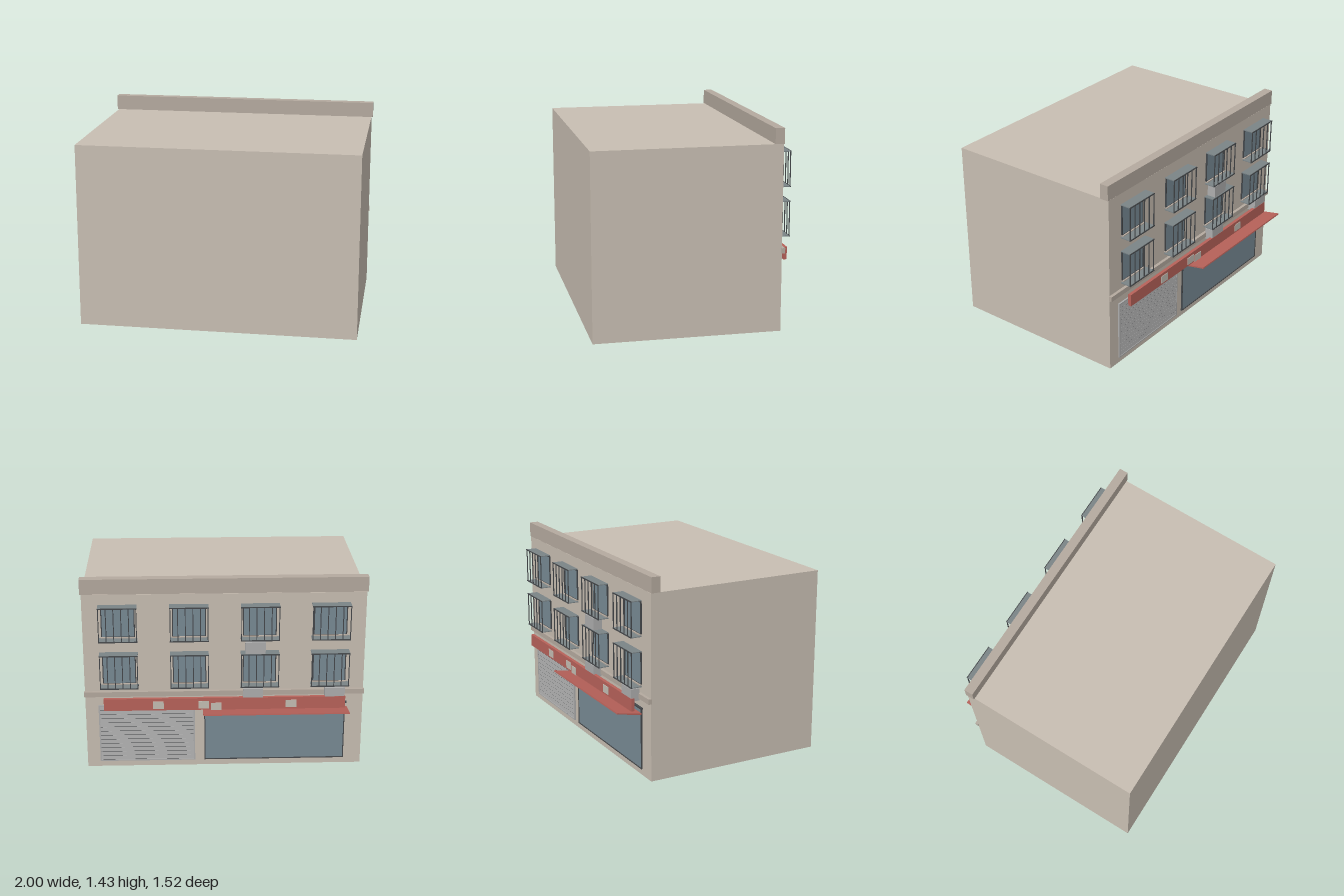
import * as THREE from 'three';

const mat = (color) => new THREE.MeshStandardMaterial({ color, flatShading: true });

export function createModel() {
  const model = new THREE.Group();
  model.name = 'building';
  const wall = mat(0xc8beb2), trim = mat(0xb5aa9f), glass = mat(0x788a94), iron = mat(0x45484b);
  const slab = mat(0x7b8487), red = mat(0xb8625a), steel = mat(0xadadad), plate = mat(0xc4beb4);

  // box given by its min and max on each axis
  const box = (name, material, [x0, x1], [y0, y1], [z0, z1], parent = model) => {
    const mesh = new THREE.Mesh(new THREE.BoxGeometry(x1 - x0, y1 - y0, z1 - z0), material);
    mesh.position.set((x0 + x1) / 2, (y0 + y1) / 2, (z0 + z1) / 2);
    mesh.name = name;
    parent.add(mesh);
    return mesh;
  };
  const group = (name) => {
    const g = new THREE.Group();
    g.name = name;
    model.add(g);
    return g;
  };
  // thin frame around a rectangular opening
  const frame = (name, material, [x0, x1], [y0, y1], z, w, parent) => {
    box(name, material, [x0, x0 + w], [y0, y1], z, parent);
    box(name, material, [x1 - w, x1], [y0, y1], z, parent);
    box(name, material, [x0, x1], [y1 - w, y1], z, parent);
    box(name, material, [x0, x1], [y0, y0 + w], z, parent);
  };

  // main volume, roof parapet and string course
  box('walls', wall, [-0.99, 0.99], [0, 1.32], [-0.56, 0.76]);
  box('parapet', trim, [-1, 1], [1.322, 1.43], [-0.562, -0.497]);
  box('stringCourse', trim, [-0.995, 0.995], [0.558, 0.595], [-0.582, -0.558]);

  // windows with caged balconies, two floors of four
  for (const y of [0.648, 1.0]) {
    for (const x of [-0.742, -0.247, 0.247, 0.742]) {
      const g = group('balconyWindow');
      box('windowPane', glass, [x - 0.115, x + 0.115], [y + 0.008, y + 0.232], [-0.566, -0.558], g);
      frame('windowFrame', iron, [x - 0.118, x + 0.118], [y + 0.005, y + 0.235], [-0.569, -0.558], 0.007, g);
      box('windowSill', trim, [x - 0.12, x + 0.12], [y + 0.003, y + 0.01], [-0.58, -0.558], g);
      box('balconyFloor', slab, [x - 0.135, x + 0.135], [y - 0.003, y + 0.003], [-0.65, -0.57], g);
      box('balconyTop', slab, [x - 0.135, x + 0.135], [y + 0.243, y + 0.249], [-0.65, -0.57], g);
      for (const h of [0, 0.246]) {
        box('balconyEdge', iron, [x - 0.136, x + 0.136], [y + h - 0.0035, y + h + 0.0035], [-0.651, -0.645], g);
      }
      for (let i = 0; i < 6; i++) {
        const bx = x - 0.131 + i * 0.0524;
        box('balconyBar', iron, [bx - 0.003, bx + 0.003], [y, y + 0.246], [-0.649, -0.643], g);
      }
    }
  }

  // air conditioners
  for (const [x, y] of [[-0.215, 0.895], [-0.2, 0.543], [-0.78, 0.543]]) {
    box('airConditioner', steel, [x - 0.07, x + 0.07], [y, y + 0.087], [-0.638, -0.574]);
  }

  // rolling shutter with tilted slats
  const shutter = group('rollingShutter');
  box('shutterPanel', steel, [0.215, 0.895], [0.045, 0.485], [-0.564, -0.558], shutter);
  frame('shutterFrame', steel, [0.212, 0.898], [0.045, 0.487], [-0.572, -0.558], 0.01, shutter);
  for (let i = 0; i < 13; i++) {
    const y = 0.058 + i * 0.0325;
    const slat = box('shutterSlat', steel, [0.222, 0.888], [y, y + 0.028], [-0.569, -0.564], shutter);
    slat.rotation.x = 0.12;
    box('shutterGap', iron, [0.222, 0.888], [y - 0.004, y], [-0.567, -0.563], shutter);
  }

  // shop window with lintel
  box('shopWindow', glass, [-0.86, 0.14], [0.05, 0.48], [-0.566, -0.558]);
  frame('shopWindowFrame', iron, [-0.865, 0.145], [0.045, 0.485], [-0.57, -0.558], 0.007);
  box('shopLintel', iron, [-0.875, 0.155], [0.484, 0.494], [-0.576, -0.558]);

  // awning rising outward
  const awning = box('awning', red, [-0.875, 0.155], [0.464, 0.474], [-0.757, -0.57]);
  awning.rotation.x = 0.185;

  // fascia sign board with blank plates
  box('fascia', red, [-0.855, 0.855], [0.475, 0.565], [-0.639, -0.615]);
  for (const [x, y] of [[0.47, 0.515], [0.15, 0.515], [0.06, 0.5], [-0.47, 0.515]]) {
    box('fasciaPlate', plate, [x - 0.038, x + 0.038], [y - 0.028, y + 0.028], [-0.643, -0.635]);
  }
  return model;
}
